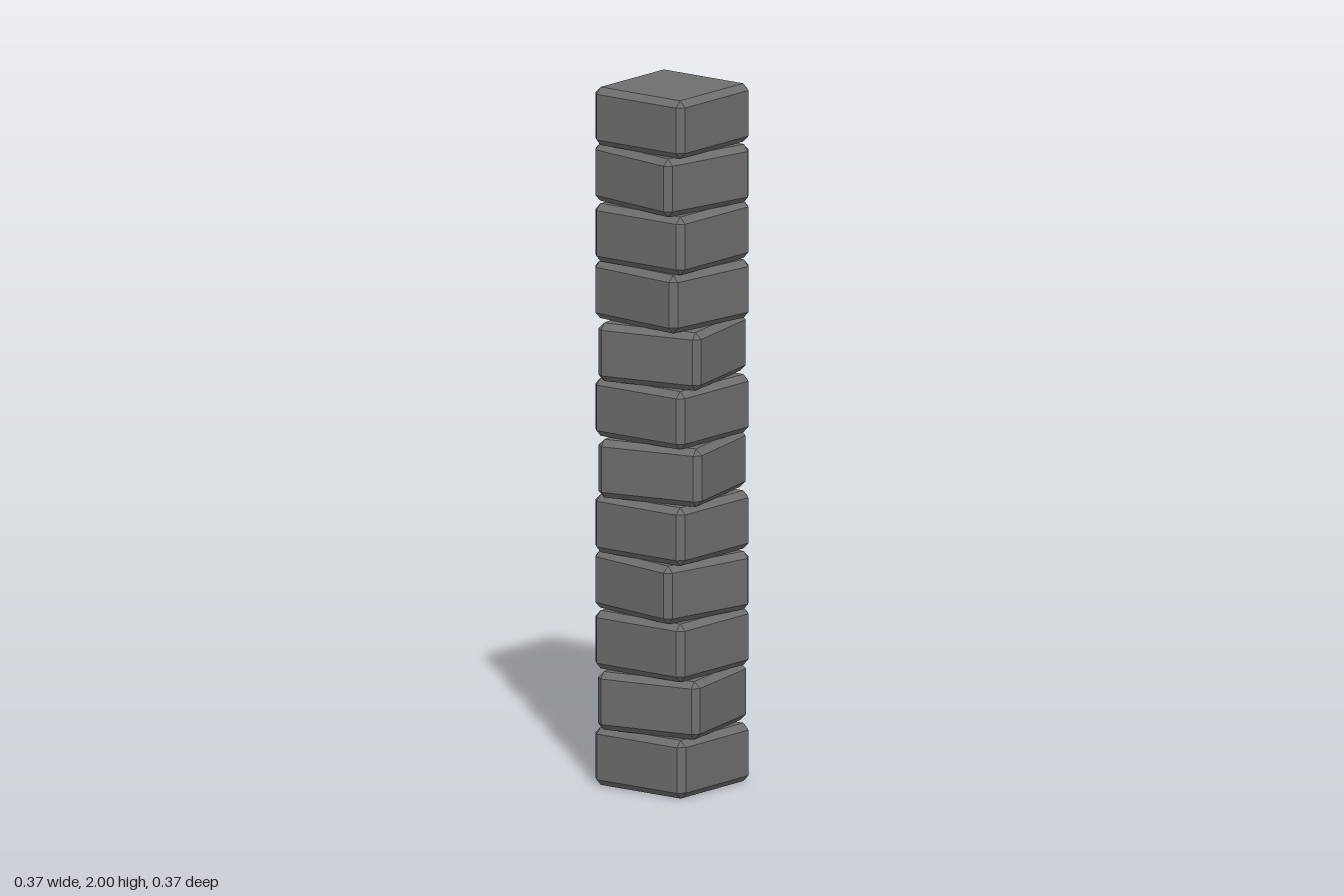
import * as THREE from 'three';
import { ConvexGeometry } from 'three/addons/geometries/ConvexGeometry.js';

// Box with every edge cut by a single flat chamfer
function chamferedBox(hx, hy, hz, b) {
  const points = [];
  for (const sx of [-1, 1]) for (const sy of [-1, 1]) for (const sz of [-1, 1]) {
    points.push(
      new THREE.Vector3(sx * hx, sy * (hy - b), sz * (hz - b)),
      new THREE.Vector3(sx * (hx - b), sy * hy, sz * (hz - b)),
      new THREE.Vector3(sx * (hx - b), sy * (hy - b), sz * hz)
    );
  }
  return new ConvexGeometry(points);
}

export function createModel() {
  const group = new THREE.Group();
  group.name = 'stonePillar';

  const stone = new THREE.MeshStandardMaterial({ color: 0x6e6e6e });
  stone.name = 'greyStone';

  // Twist of each block in degrees, from the bottom up
  const twists = [-1.5, 9.5, -2, -11.5, -2, 11, -2, 10.5, -7.5, -2, -11.5, -2];
  const height = 2 / twists.length;
  const block = chamferedBox(0.16, height / 2, 0.16, 0.018);

  // Stacked blocks
  twists.forEach((deg, i) => {
    const mesh = new THREE.Mesh(block, stone);
    mesh.name = `block${i + 1}`;
    mesh.position.y = (i + 0.5) * height;
    mesh.rotation.y = THREE.MathUtils.degToRad(deg);
    group.add(mesh);
  });

  return group;
}
